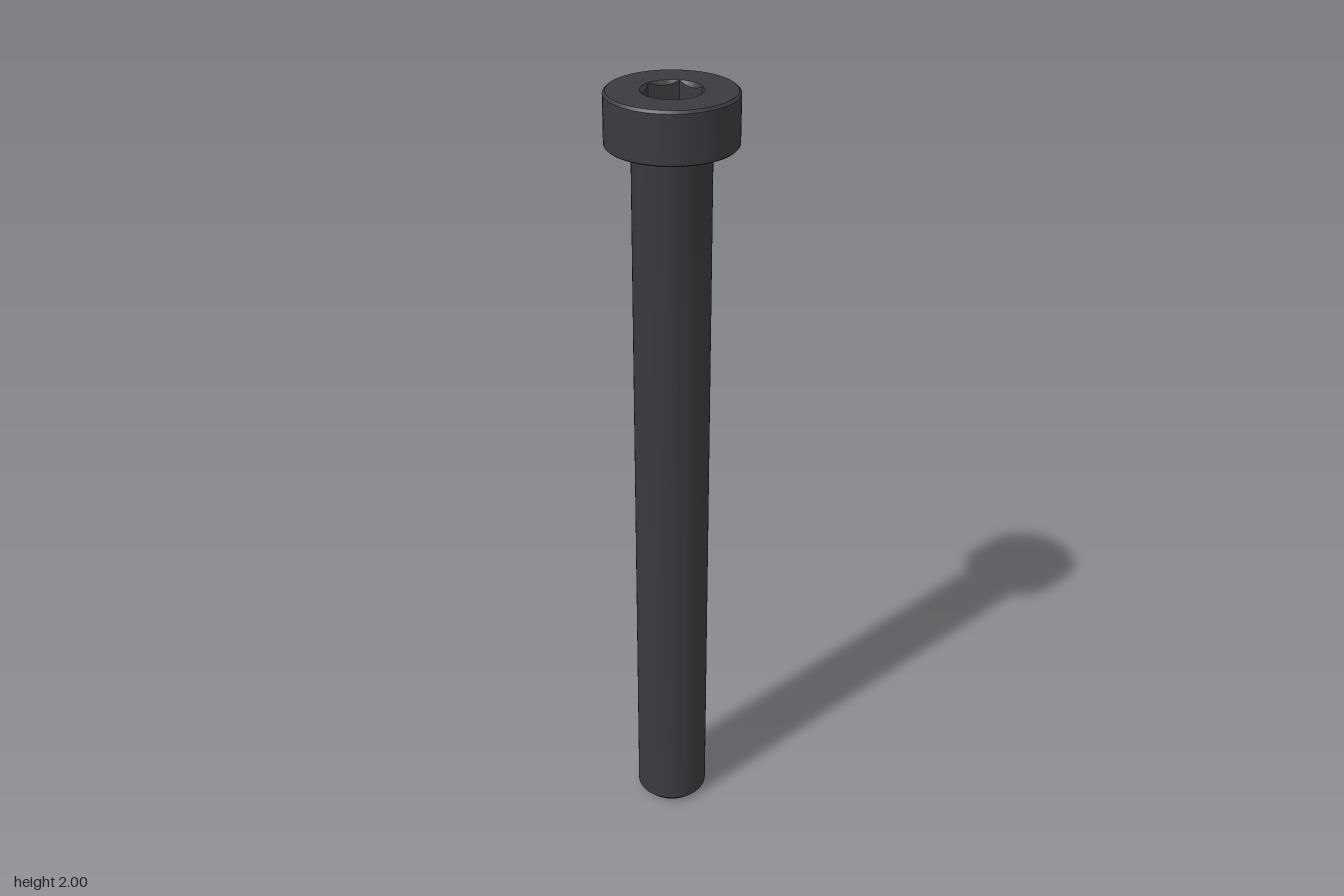
import * as THREE from 'three';
import { toCreasedNormals } from 'three/addons/utils/BufferGeometryUtils.js';

const SEGMENTS = 60; // multiple of 12, so the hexagon corners fall on segment lines
const APOTHEM = 0.063;
const RIM = APOTHEM / Math.cos(Math.PI / 6);
const FLOOR = 1.928;

const lathe = (pts) =>
  new THREE.LatheGeometry(pts.map(([x, y]) => new THREE.Vector2(x, y)), SEGMENTS);

export function createModel() {
  const group = new THREE.Group();
  const material = new THREE.MeshStandardMaterial({ color: 0x3a3b3f });

  const add = (name, geometry) => {
    const mesh = new THREE.Mesh(toCreasedNormals(geometry, 0.4), material);
    mesh.name = name;
    group.add(mesh);
  };

  // Shank with a chamfered tip and a small fillet below the head
  const shank = [[0, 0], [0.08, 0], [0.0935, 0.015], [0.0935, 1.867]];
  for (let i = 1; i <= 4; i++) {
    const a = (i / 4) * Math.PI / 2;
    shank.push([0.0935 + 0.009 * (1 - Math.cos(a)), 1.867 + 0.009 * Math.sin(a)]);
  }
  add('shank', lathe(shank));

  // Head: underside, wall, chamfered top edge and flat ring around the socket
  add('head', lathe([
    [0.1025, 1.876], [0.152, 1.876], [0.155, 1.879],
    [0.155, 1.994], [0.149, 2], [RIM, 2],
  ]));

  // Hexagonal socket: a conical lead-in meets six flat walls and a flat floor
  const socket = lathe([[RIM, 2], [APOTHEM, 1.99], [APOTHEM, FLOOR], [0, FLOOR]]);
  const pos = socket.attributes.position;
  for (let i = 0; i <= SEGMENTS; i++) {
    const angle = (i / SEGMENTS) * Math.PI * 2;
    const fromFlat = angle - Math.round(angle / (Math.PI / 3)) * (Math.PI / 3);
    const r = APOTHEM / Math.cos(fromFlat);
    const x = r * Math.sin(angle);
    const z = r * Math.cos(angle);
    pos.setXYZ(i * 4 + 1, x, 2 - (RIM - r), z);
    pos.setXYZ(i * 4 + 2, x, FLOOR, z);
  }
  add('hexSocket', socket);

  return group;
}
